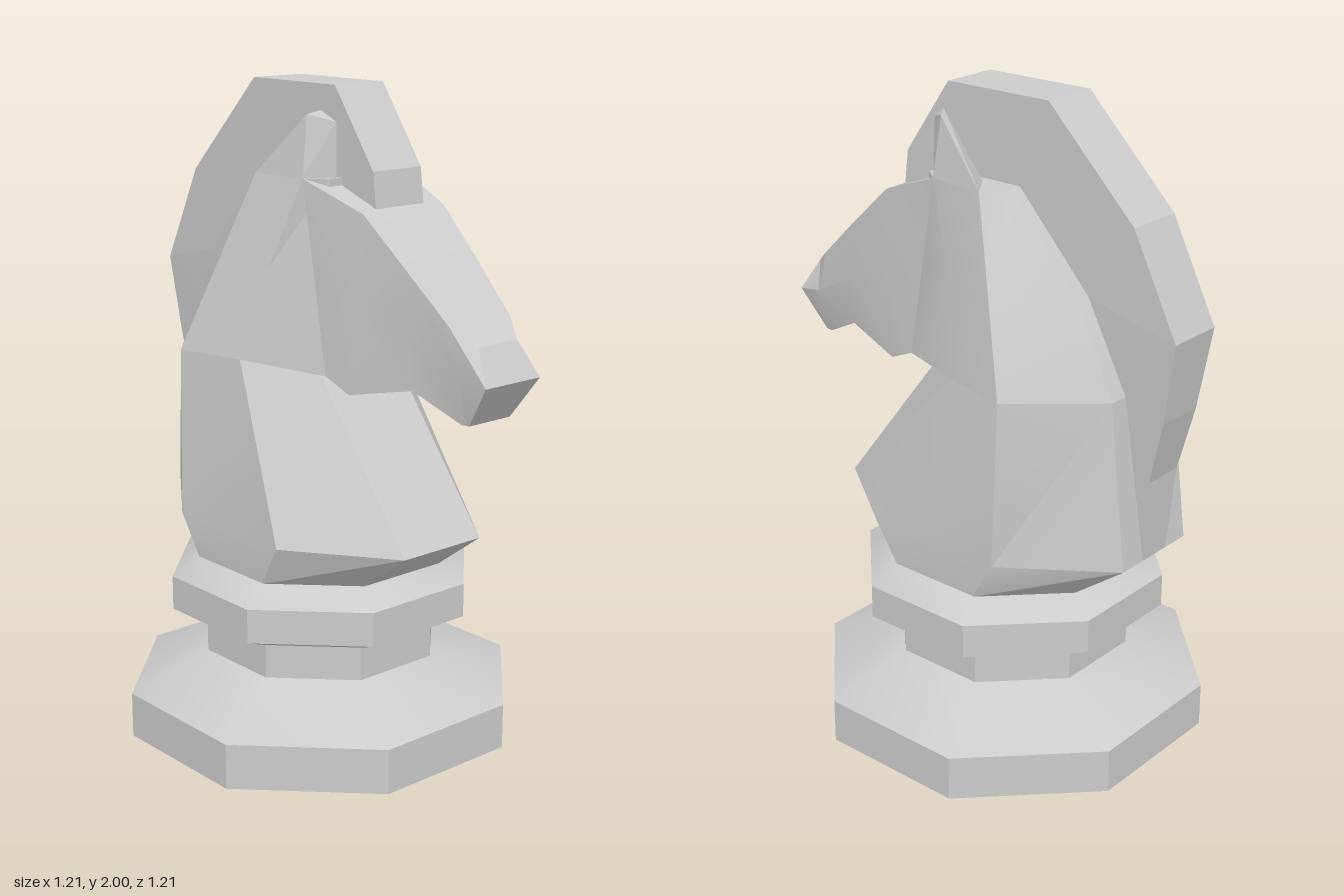
import * as THREE from 'three';
import { toCreasedNormals } from 'three/addons/utils/BufferGeometryUtils.js';
import { ConvexGeometry } from 'three/addons/geometries/ConvexGeometry.js';

const material = new THREE.MeshStandardMaterial({ color: 0xcccccc });

// Half-section points are [forward, sideways, height]; the other half is mirrored.
const toVec = ([u, w, y], side = 1) => new THREE.Vector3(w * side, y, u);

// Skin a row of mirrored half-sections and close both ends
function loft(sections) {
  const rings = sections.map((half) => [
    ...half.map((p) => toVec(p)),
    ...[...half].reverse().map((p) => toVec(p, -1)),
  ]);
  const n = rings[0].length;
  const index = [];
  for (let i = 0; i < rings.length - 1; i++) {
    for (let j = 0; j < n; j++) {
      const a = i * n + j, b = i * n + (j + 1) % n;
      index.push(a, b, b + n, a, b + n, a + n);
    }
  }
  const last = (rings.length - 1) * n;
  // Caps run in strips between mirrored points
  for (let j = 0; j < n / 2 - 1; j++) {
    const k = n - 1 - j;
    index.push(j, k, k - 1, j, k - 1, j + 1);
    index.push(last + j, last + k - 1, last + k, last + j, last + j + 1, last + k - 1);
  }
  const geometry = new THREE.BufferGeometry().setFromPoints(rings.flat());
  geometry.setIndex(index);
  return toCreasedNormals(geometry, 0.4);
}

export function createModel() {
  const model = new THREE.Group();
  const knight = new THREE.Group();
  knight.name = 'knight';
  knight.rotation.y = Math.PI / 4;
  knight.position.set(-0.035, 0, -0.04);
  model.add(knight);

  const add = (name, geometry) => {
    const mesh = new THREE.Mesh(geometry, material);
    mesh.name = name;
    knight.add(mesh);
  };

  // Octagonal foot and collar, given as flat-to-centre distance and height
  const profile = [
    [0, 0], [0.572, 0], [0.572, 0.14], [0.345, 0.255], [0.345, 0.36],
    [0.445, 0.405], [0.445, 0.51], [0.365, 0.565], [0, 0.565],
  ].map(([r, y]) => new THREE.Vector2(r / Math.cos(Math.PI / 8), y));
  add('base', toCreasedNormals(new THREE.LatheGeometry(profile, 8, Math.PI / 8), 0.6));

  // Chest and neck, eight-sided, from the collar to the throat
  add('neck', loft([
    [[0.365, 0.151, 0.56], [0.151, 0.365, 0.56], [-0.151, 0.365, 0.56], [-0.365, 0.151, 0.56]],
    [[0.54, 0.15, 0.69], [0.23, 0.37, 0.69], [-0.23, 0.37, 0.69], [-0.54, 0.15, 0.69]],
    [[0.16, 0.15, 1.18], [-0.02, 0.3, 1.2], [-0.24, 0.354, 1.2], [-0.48, 0.145, 1.2]],
  ]));

  // Back of the head, from the throat up to the ears
  add('crown', loft([
    [[0.24, 0.19, 1.18], [-0.02, 0.3, 1.2], [-0.24, 0.354, 1.2], [-0.48, 0.145, 1.2]],
    [[0.19, 0.19, 1.46], [0.04, 0.24, 1.47], [-0.145, 0.282, 1.47], [-0.35, 0.14, 1.47]],
    [[0.2, 0.14, 1.74], [0.14, 0.19, 1.74], [-0.05, 0.21, 1.74], [-0.1, 0.13, 1.74]],
  ]));

  // Face, from the cheeks forward to the muzzle
  add('face', loft([
    [[0.24, 0.19, 1.18], [0.19, 0.19, 1.46], [0.14, 0.19, 1.74]],
    [[0.33, 0.18, 1.14], [0.35, 0.175, 1.4], [0.36, 0.155, 1.66]],
    [[0.54, 0.13, 1.185], [0.53, 0.14, 1.34], [0.52, 0.137, 1.52]],
    [[0.69, 0.085, 1.11], [0.71, 0.115, 1.25], [0.67, 0.118, 1.385]],
    [[0.715, 0.08, 1.11], [0.8, 0.106, 1.235], [0.74, 0.075, 1.335]],
  ]));

  // Mane and forelock: one upright slab that narrows toward the bottom
  const outline = [
    [-0.54, 0.69], [-0.56, 0.95], [-0.61, 1.15], [-0.65, 1.4], [-0.5, 1.7], [-0.2, 2],
    [0.167, 2], [0.33, 1.77], [0.345, 1.65], [0.15, 1.62], [-0.2, 1.5], [-0.4, 1.2], [-0.45, 0.69],
  ].map(([u, y]) => new THREE.Vector2(u, y));
  const mane = new THREE.ExtrudeGeometry(new THREE.Shape(outline), { depth: 0.184, bevelEnabled: false });
  mane.translate(0, 0, -0.092).rotateY(-Math.PI / 2);
  const pos = mane.attributes.position;
  for (let i = 0; i < pos.count; i++) {
    const t = THREE.MathUtils.clamp((1.4 - pos.getY(i)) / 0.71, 0, 1);
    pos.setX(i, pos.getX(i) * (1 - 0.4 * t));
  }
  mane.computeVertexNormals();
  add('mane', mane);

  // Ears
  const ear = [
    [-0.05, 0.21, 1.74], [0.14, 0.19, 1.74], [0.2, 0.115, 1.72], [0, 0.12, 1.72],
    [0.13, 0.165, 1.92], [0.15, 0.13, 1.93], [0.2, 0.115, 1.9],
  ];
  for (const side of [1, -1]) {
    add(side > 0 ? 'leftEar' : 'rightEar', new ConvexGeometry(ear.map((p) => toVec(p, side))));
  }
  return model;
}
